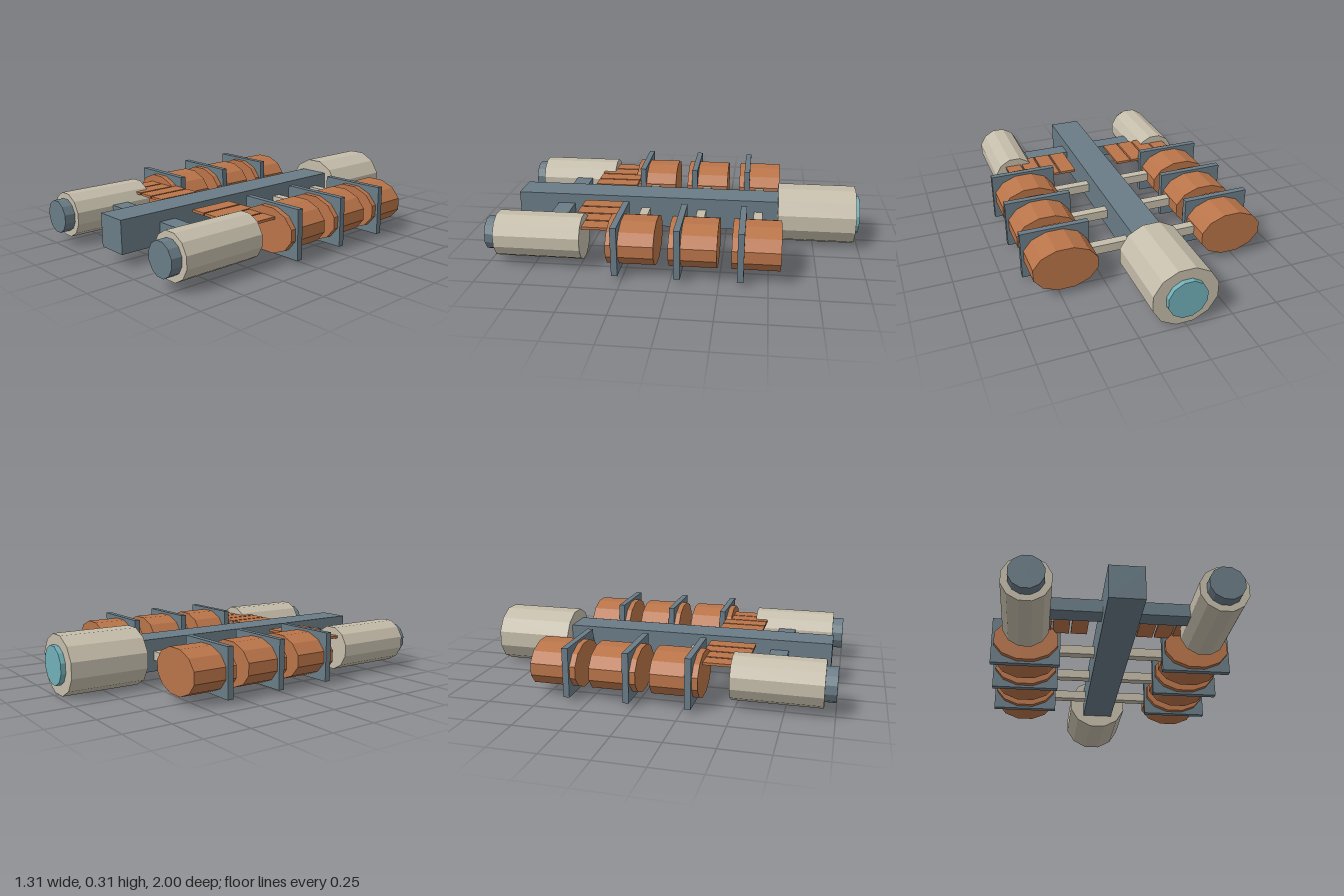
import * as THREE from 'three';

const MID = 0.157; // height of the common axis

function material(name, color) {
  const m = new THREE.MeshStandardMaterial({ color });
  m.name = name;
  return m;
}

export function createModel() {
  const slate = material('slate', 0x6a7c86);
  const copper = material('copper', 0xb97449);
  const bone = material('bone', 0xc5bdab);
  const teal = material('teal', 0x72afb9);
  const model = new THREE.Group();
  model.name = 'spacecraft';

  function add(name, geometry, mat, x, y, z) {
    const mesh = new THREE.Mesh(geometry, mat);
    mesh.name = name;
    mesh.position.set(x, y, z);
    model.add(mesh);
  }

  // Box given by its centre and size
  function box(name, mat, x, y, z, w, h, d) {
    add(name, new THREE.BoxGeometry(w, h, d), mat, x, y, z);
  }

  // Faceted twelve-sided drum along z, flat on top, with half width hx and half height hy
  function drum(name, mat, x, z0, z1, hx, hy) {
    const g = new THREE.CylinderGeometry(1, 1, z1 - z0, 12)
      .rotateY(Math.PI / 12)
      .rotateX(Math.PI / 2);
    const k = 1 / Math.cos(Math.PI / 12);
    g.scale(hx * k, hy * k, 1);
    const flat = g.toNonIndexed();
    flat.computeVertexNormals();
    add(name, flat, mat, x, MID, (z0 + z1) / 2);
  }

  // Central spine and rear drive
  box('spine', slate, 0, 0.159, 0.18, 0.178, 0.178, 1.55);
  drum('rearDrive', bone, 0, -0.974, -0.545, 0.172, 0.157);
  drum('rearDriveGlow', teal, 0, -1, -0.96, 0.103, 0.102);

  for (const side of [-1, 1]) {
    const x = side * 0.467;

    // Cargo drums, each with a square collar and a strut to the spine
    for (const z of [-0.436, -0.114, 0.208]) {
      drum('cargoDrum', copper, x, z - 0.124, z + 0.124, 0.172, 0.119);
      box('collar', slate, x, 0.158, z + 0.077, 0.373, 0.266, 0.033);
      box('strut', bone, side * 0.2, MID, z, 0.26, 0.05, 0.05);
    }

    // Forward pod, its nose and the arm that carries it
    drum('forwardPod', bone, x, 0.48, 0.942, 0.12, 0.119);
    drum('podNose', slate, x, 0.92, 1, 0.086, 0.087);
    box('podArm', slate, side * 0.25, MID, 0.675, 0.36, 0.07, 0.098);

    // Row of radiator panels
    for (let i = 0; i < 4; i++) {
      box('radiatorPanel', copper, side * (0.182 + i * 0.099), 0.227, 0.425, 0.089, 0.014, 0.25);
    }
  }
  return model;
}
